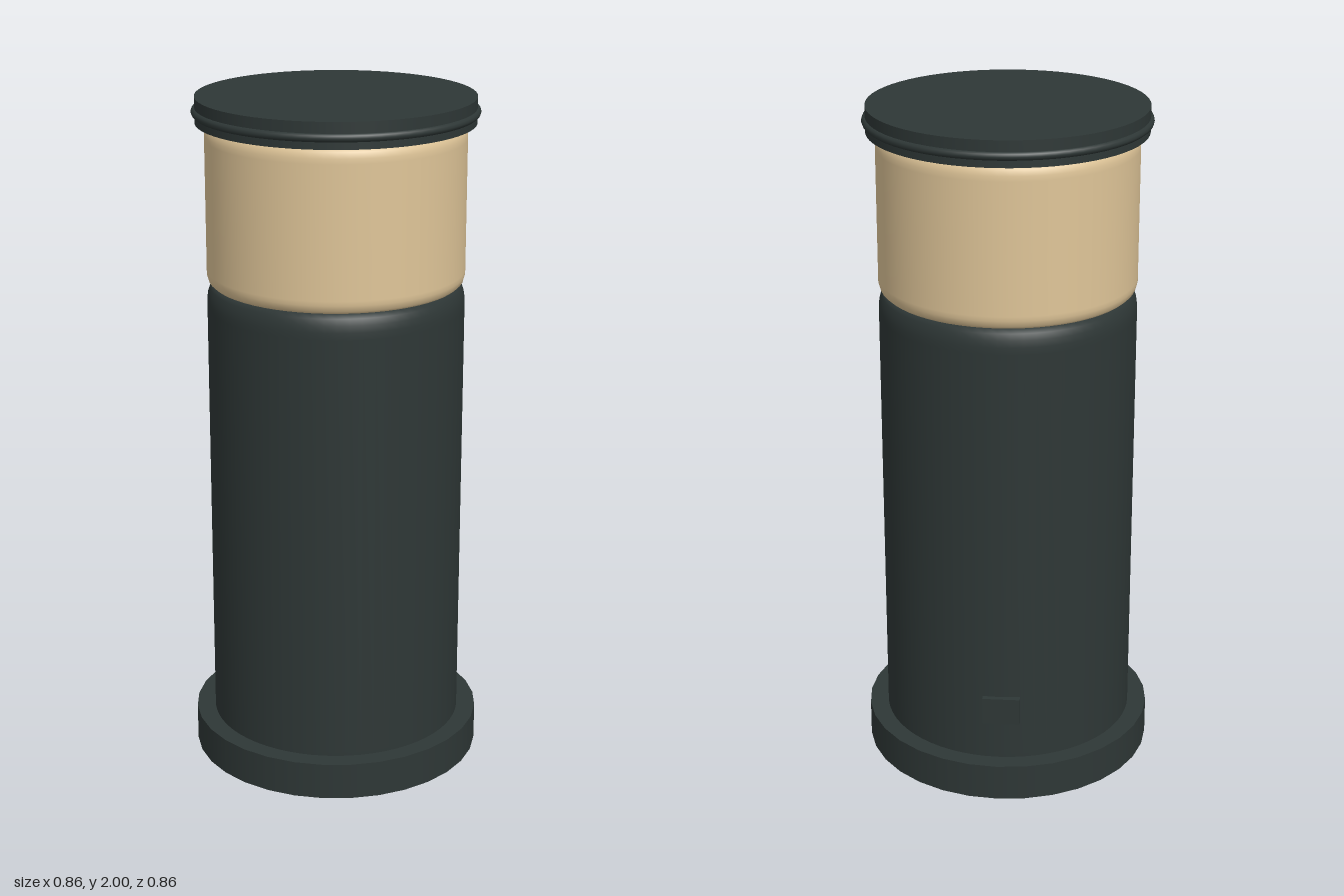
import * as THREE from 'three';

const charcoal = new THREE.MeshStandardMaterial({ color: 0x2e3736 });
charcoal.name = 'charcoal';
const warmGlass = new THREE.MeshStandardMaterial({ color: 0xdfc598 });
warmGlass.name = 'warmGlass';

// Turned part from [radius, height] points, listed from bottom to top
function turned(name, points, material, segments = 64) {
  const profile = points.map(([r, y]) => new THREE.Vector2(r, y));
  const mesh = new THREE.Mesh(new THREE.LatheGeometry(profile, segments), material);
  mesh.name = name;
  return mesh;
}

function disc(name, radius, height, y, segments) {
  const mesh = new THREE.Mesh(new THREE.CylinderGeometry(radius, radius, height, segments), charcoal);
  mesh.name = name;
  mesh.position.y = y;
  return mesh;
}

export function createModel() {
  const group = new THREE.Group();
  group.name = 'bollardLight';

  // Foot plate
  group.add(disc('base', 0.43, 0.11, 0.055, 32));

  // Post with a softly rounded shoulder
  group.add(turned('post', [
    [0.374, 0.1], [0.374, 0.12], [0.374, 1.39], [0.374, 1.41],
    [0.371, 1.43], [0.365, 1.448], [0.357, 1.462], [0.3, 1.465], [0, 1.465],
  ], charcoal));

  // Lamp diffuser, rounded at both ends
  group.add(turned('diffuser', [
    [0.34, 1.46], [0.36, 1.462], [0.369, 1.47], [0.374, 1.487], [0.374, 1.5],
    [0.374, 1.88], [0.374, 1.895], [0.37, 1.912], [0.36, 1.924], [0.34, 1.927],
  ], warmGlass));

  // Cap with a raised bead around its rim
  group.add(disc('cap', 0.4, 0.075, 1.9625, 64));
  const bead = new THREE.Mesh(new THREE.TorusGeometry(0.398, 0.012, 10, 64), charcoal);
  bead.name = 'capBead';
  bead.rotation.x = Math.PI / 2;
  bead.position.y = 1.957;
  group.add(bead);

  // Small service cover low on the back
  const cover = new THREE.Mesh(new THREE.BoxGeometry(0.11, 0.083, 0.04), charcoal);
  cover.name = 'serviceCover';
  cover.position.set(-0.01, 0.273, -0.369);
  group.add(cover);

  return group;
}
